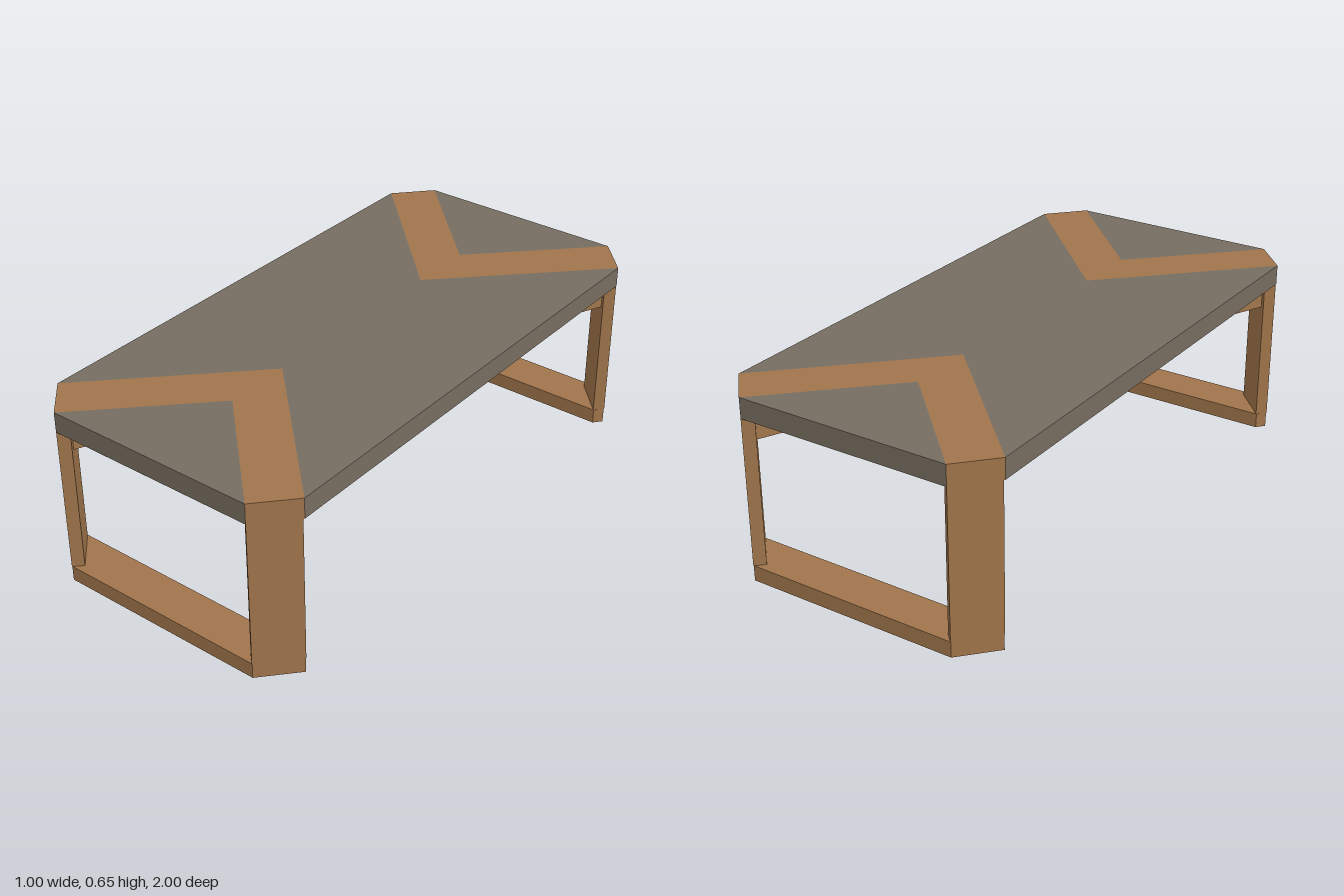
import * as THREE from 'three';

// Upright prism from a plan outline of [x, z] points, between heights y0 and y1.
function prism(points, y0, y1) {
  const shape = new THREE.Shape(points.map(([x, z]) => new THREE.Vector2(x, z)));
  const geometry = new THREE.ExtrudeGeometry(shape, { depth: y1 - y0, bevelEnabled: false });
  geometry.rotateX(Math.PI / 2);
  geometry.translate(0, y1, 0);
  return geometry;
}

export function createModel() {
  const table = new THREE.Group();
  table.name = 'table';

  const wood = new THREE.MeshStandardMaterial({ color: 0xa0754b });
  wood.name = 'warm wood';
  const slate = new THREE.MeshStandardMaterial({ color: 0x766d60 });
  slate.name = 'grey brown top';

  const add = (name, points, y0, y1, material) => {
    const mesh = new THREE.Mesh(prism(points, y0, y1), material);
    mesh.name = name;
    table.add(mesh);
  };

  const footTop = 0.055, beamBottom = 0.48, topBottom = 0.578, topHeight = 0.65;

  // Middle panel of the top, notched at both ends for the wooden chevrons
  add('topPanel', [
    [-0.5, 0.875], [0, 0.375], [0.5, 0.875],
    [0.5, -0.875], [0, -0.375], [-0.5, -0.875],
  ], topBottom, topHeight, slate);

  for (const s of [1, -1]) {
    const end = s > 0 ? 'front' : 'back';
    const place = (points) => points.map(([x, z]) => [x, z * s]);

    // Triangle of the top between the arms of the chevron
    add(end + 'TopTriangle', place([[-0.385, 1], [0.385, 1], [0, 0.615]]),
      topBottom, topHeight, slate);

    // Chevron set into the top, flush with the legs
    add(end + 'Chevron', place([
      [-0.5, 0.875], [-0.385, 1], [0, 0.615], [0.385, 1], [0.5, 0.875], [0, 0.375],
    ]), topBottom, topHeight, wood);

    // Foot rail with cut corners
    add(end + 'FootRail', place([
      [-0.385, 0.998], [0.385, 0.998], [0.495, 0.878],
      [0.47, 0.848], [-0.47, 0.848], [-0.495, 0.878],
    ]), 0, footTop, wood);

    // Flat legs standing along the cut corners
    for (const side of [1, -1]) {
      const leg = [[0.385, 1], [0.497, 0.878], [0.468, 0.848], [0.355, 0.97]];
      add(end + (side > 0 ? 'Left' : 'Right') + 'Leg',
        place(leg).map(([x, z]) => [x * side, z]), footTop, topBottom, wood);
    }
  }

  // Crossed beams below the top, running from leg to opposite leg
  const endX = 0.4275, endZ = 0.9225, length = Math.hypot(endX, endZ);
  const nx = (endZ / length) * 0.045, nz = (endX / length) * 0.045;
  for (const s of [1, -1]) {
    add(s > 0 ? 'crossBeamA' : 'crossBeamB', [
      [endX + nx, endZ - nz], [endX - nx, endZ + nz],
      [-endX - nx, -endZ + nz], [-endX + nx, -endZ - nz],
    ].map(([x, z]) => [x * s, z]), beamBottom, topBottom, wood);
  }

  return table;
}
